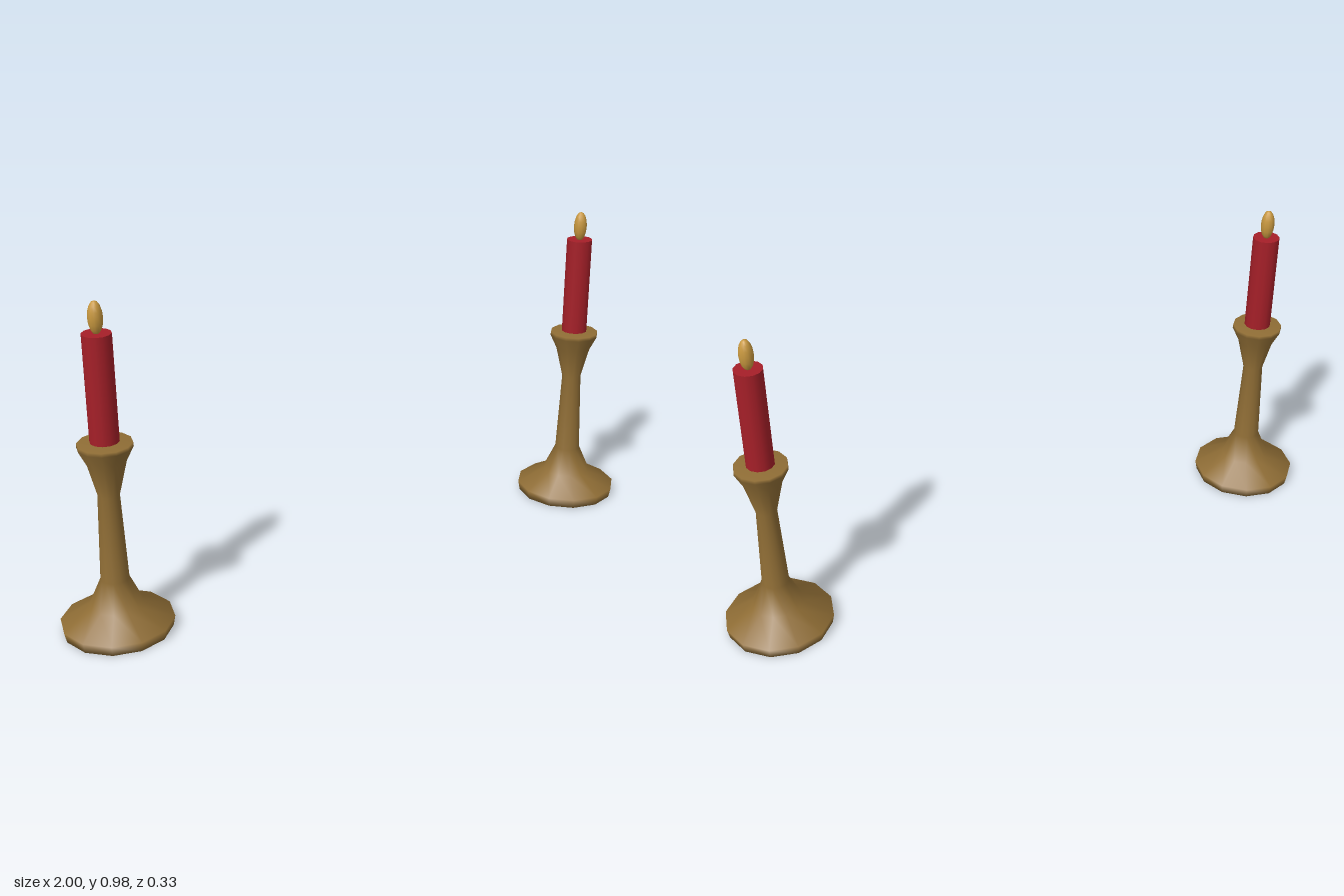
import * as THREE from 'three';

const SIDES = 12;

function part(name, geometry, color) {
  const mesh = new THREE.Mesh(geometry, new THREE.MeshStandardMaterial({ color }));
  mesh.name = name;
  return mesh;
}

function createCandlestick() {
  const stick = new THREE.Group();

  // Turned holder: wide foot, slim stem, flared cup
  const profile = [
    [0, 0], [0.157, 0], [0.163, 0.03], [0.077, 0.08], [0.041, 0.16], [0.031, 0.42],
    [0.056, 0.52], [0.078, 0.565], [0.077, 0.576], [0, 0.576],
  ].map(([r, y]) => new THREE.Vector2(r, y));
  stick.add(part('holder', new THREE.LatheGeometry(profile, SIDES), 0x8f6d35));

  // Wax candle
  const candle = part('candle', new THREE.CylinderGeometry(0.041, 0.041, 0.31, SIDES), 0xa51f28);
  candle.position.y = 0.735;
  stick.add(candle);

  // Flame: a stretched ball
  const flame = part('flame', new THREE.SphereGeometry(1, SIDES, 8), 0xc8983f);
  flame.scale.set(0.021, 0.047, 0.021);
  flame.position.y = 0.933;
  stick.add(flame);

  return stick;
}

export function createModel() {
  const model = new THREE.Group();
  model.name = 'candlestickPair';
  for (const [name, side] of [['leftCandlestick', 1], ['rightCandlestick', -1]]) {
    const stick = createCandlestick();
    stick.name = name;
    stick.position.x = side * 0.837;
    model.add(stick);
  }
  return model;
}
